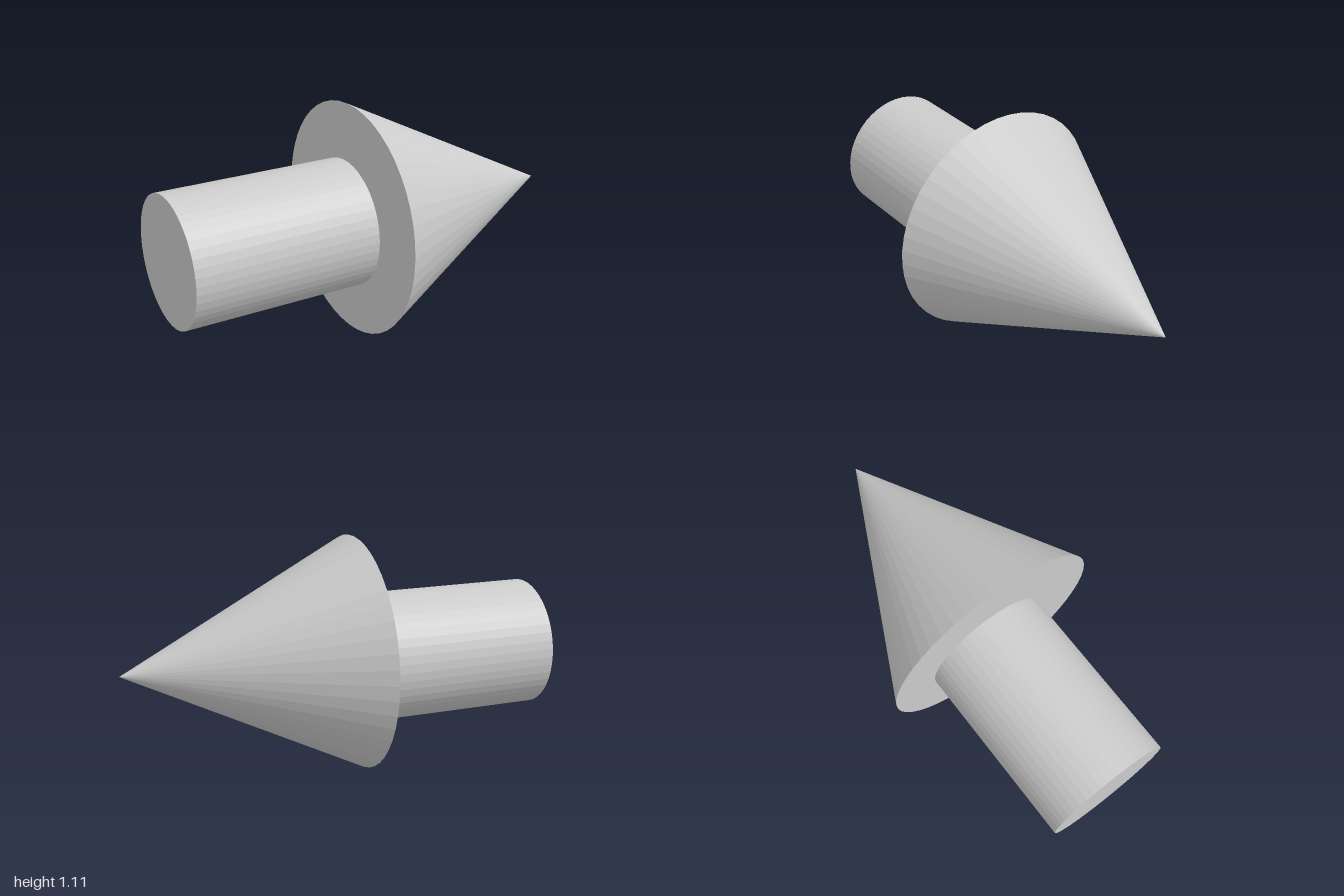
import * as THREE from 'three';

const SIDES = 48;

export function createModel() {
  const group = new THREE.Group();
  group.name = 'arrow';
  const material = new THREE.MeshStandardMaterial({ color: 0xcccccc, flatShading: true });

  // Round part lying along x, from x0 to x1, centred on (y, z)
  const addPart = (name, tipRadius, baseRadius, x0, x1, y, z) => {
    const geometry = new THREE.CylinderGeometry(tipRadius, baseRadius, x1 - x0, SIDES);
    geometry.rotateZ(-Math.PI / 2);
    const mesh = new THREE.Mesh(geometry, material);
    mesh.name = name;
    mesh.position.set((x0 + x1) / 2, y, z);
    group.add(mesh);
  };

  // Pointed head
  addPart('arrowHead', 0, 0.555, -0.111, 1, 0.555, 0);
  // Shaft, set slightly off the axis of the head
  addPart('shaft', 0.305, 0.305, -1, -0.111, 0.53, -0.03);

  return group;
}
